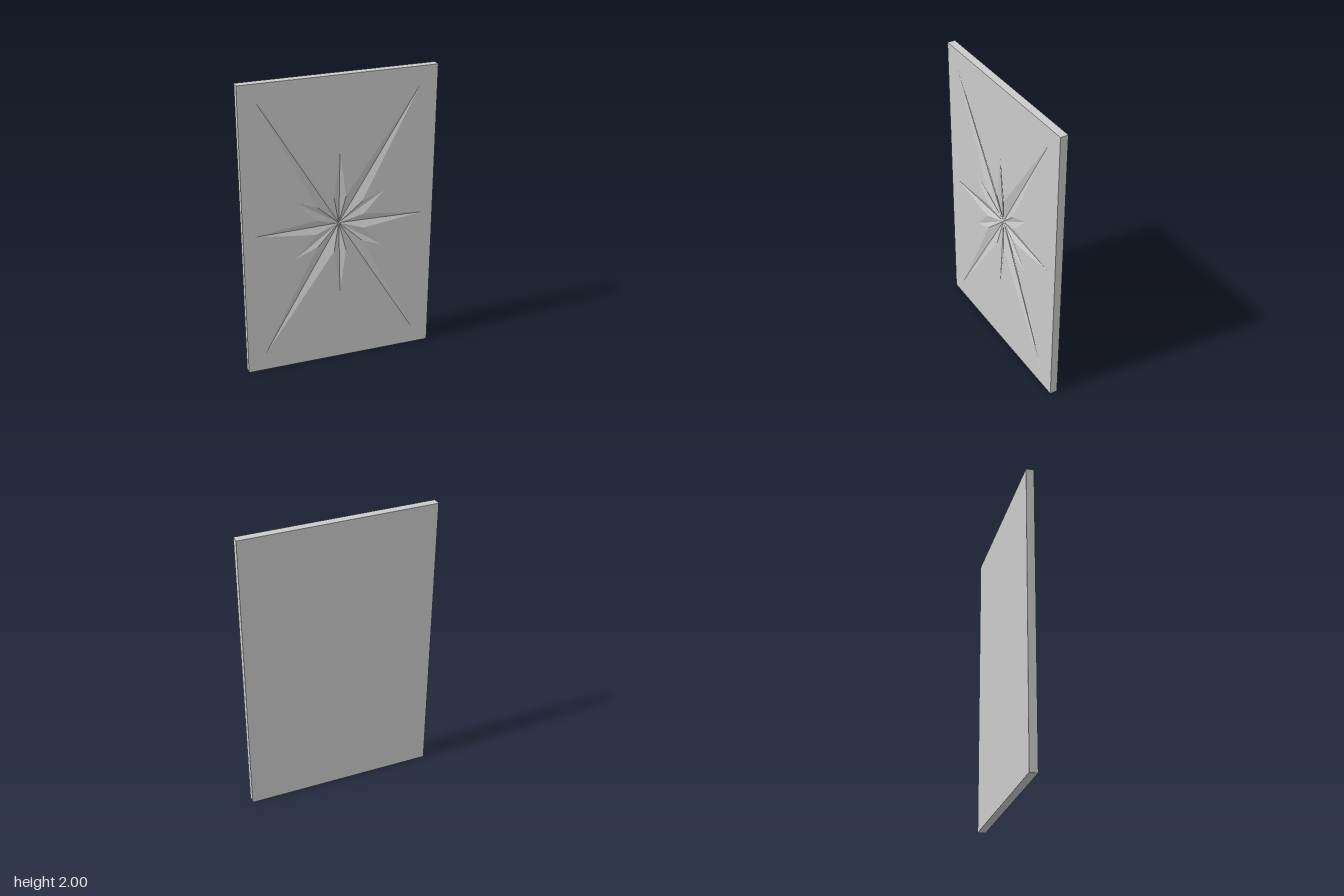
import * as THREE from 'three';

const W = 0.64, H = 2, T = 0.052, DEPTH = 0.025;

// One quadrant of the star outline, tips and notches alternating
const QUADRANT = [[0.57, 0], [0.16, 0.05], [0.3, 0.2], [0.15, 0.14], [0.53, 0.89], [0.04, 0.19], [0, 0.51]];

function starOutline() {
  const half = [...QUADRANT, ...QUADRANT.slice(0, -1).reverse().map(([x, y]) => [-x, y])];
  const lower = half.slice(1, -1).reverse().map(([x, y]) => [x, -y]);
  return [...half, ...lower].map(([x, y]) => new THREE.Vector2(x, y + H / 2));
}

export function createModel() {
  const group = new THREE.Group();
  group.name = 'carvedPanel';
  const material = new THREE.MeshStandardMaterial({ color: 0xcccccc, flatShading: true });
  const add = (name, geometry) => {
    const mesh = new THREE.Mesh(geometry, material);
    mesh.name = name;
    group.add(mesh);
    return mesh;
  };
  const star = starOutline();

  // Slab back and edges: a box with its front (+z) face left out
  const box = new THREE.BoxGeometry(W * 2, H, T);
  const index = Array.from(box.index.array);
  index.splice(24, 6);
  box.setIndex(index);
  box.clearGroups();
  add('slab', box).position.y = H / 2;

  // Front face with a star-shaped opening
  const face = new THREE.Shape([[-W, 0], [W, 0], [W, H], [-W, H]].map(([x, y]) => new THREE.Vector2(x, y)));
  face.holes.push(new THREE.Path(star));
  add('frontFace', new THREE.ShapeGeometry(face)).position.z = T / 2;

  // Engraved star: facets run from the rim down to the sunken centre
  const corners = star.flatMap((p, i) => {
    const q = star[(i + 1) % star.length];
    return [0, H / 2, T / 2 - DEPTH, p.x, p.y, T / 2, q.x, q.y, T / 2];
  });
  const facets = new THREE.BufferGeometry();
  facets.setAttribute('position', new THREE.Float32BufferAttribute(corners, 3));
  facets.computeVertexNormals();
  add('engravedStar', facets);

  return group;
}
